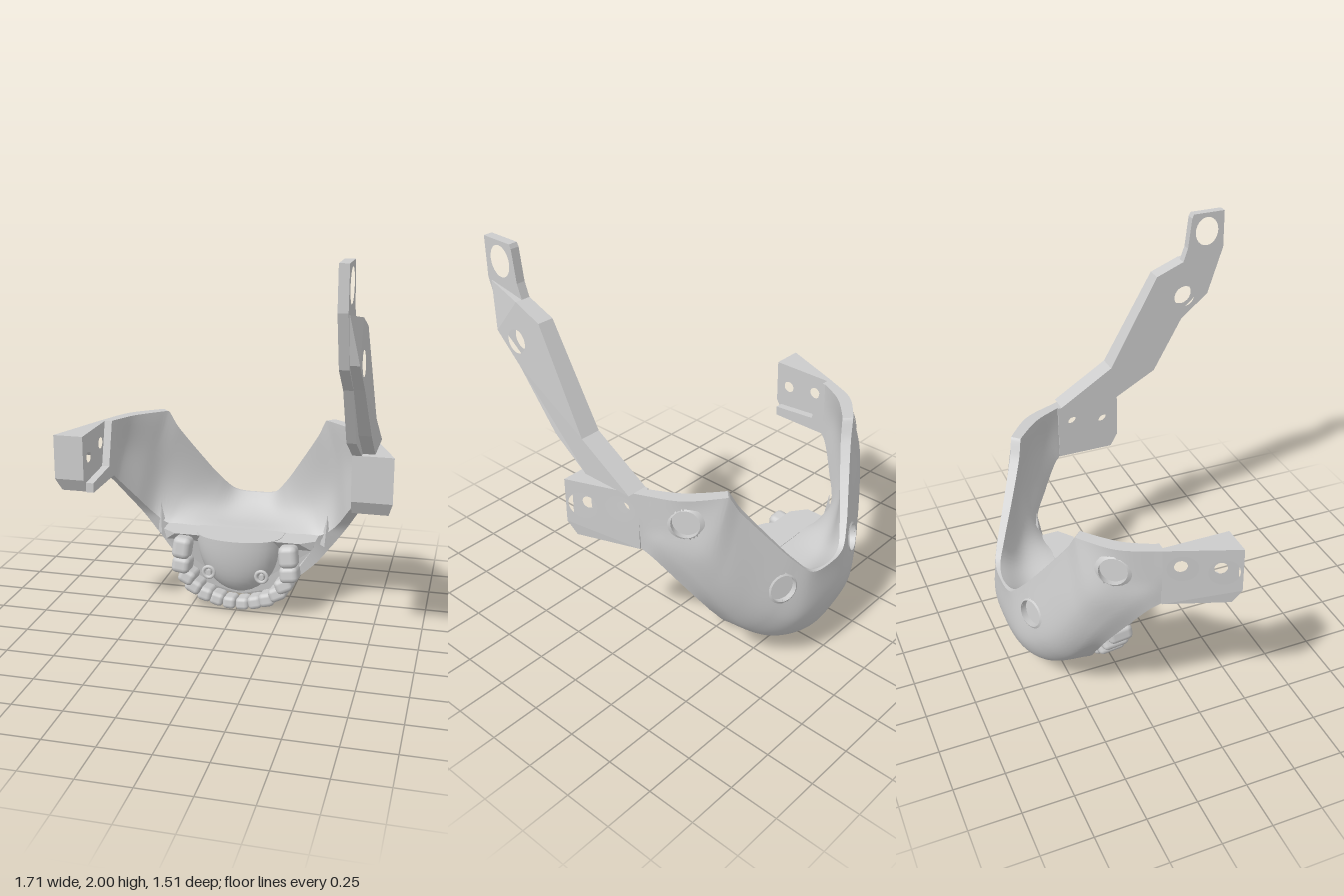
import * as THREE from 'three';
import { toCreasedNormals } from 'three/addons/utils/BufferGeometryUtils.js';
import { RoundedBoxGeometry } from 'three/addons/geometries/RoundedBoxGeometry.js';

const V = (a) => new THREE.Vector3(...a);
const lerp = THREE.MathUtils.lerp;

// Rails of the jaw band from the wing joint to the chin
const TOP = [[.722, 1.03, -.2], [.635, 1.04, -.38], [.5, 1.06, -.5], [.42, .93, -.55],
  [.3, .75, -.635], [.2, .61, -.705], [.12, .53, -.745], [0, .515, -.755]];
const BULGE = [[.722, .88, -.2], [.665, .86, -.34], [.605, .78, -.475], [.535, .65, -.545],
  [.45, .48, -.605], [.34, .35, -.67], [.2, .27, -.73], [0, .27, -.75]];
const BOTTOM = [[.715, .73, -.2], [.7, .7, -.25], [.635, .58, -.335], [.56, .45, -.41],
  [.475, .33, -.43], [.385, .22, -.43], [.24, .11, -.43], [0, .06, -.43]];
const INNER = [[.66, .73, -.2], [.65, .7, -.23], [.58, .58, -.32], [.5, .46, -.4],
  [.42, .41, -.4], [.28, .41, -.4], [.14, .41, -.4], [0, .41, -.4]];
const DIMPLES = [[.63, .92, -.40], [.27, .49, -.69]];
const DIMPLE_R = 0.068;

// Cross-section k: outer side going down, then inner side going up
function station(k) {
  const [top, bulge, bottom, inner] = [TOP, BULGE, BOTTOM, INNER].map((rail) => V(rail[k]));
  const chin = (k / 7) ** 3, hollow = Math.min(1, k / 3);
  const low = bulge.clone().lerp(bottom, .5).add(V([0, -.08 * chin, -.07 * chin]));
  low.x *= 1 + .06 * Math.min(1, k / 5);
  const rim = V([top.x * .92, top.y, top.z + .04 * Math.min(1, k) * (1 - .7 * chin)]);
  const bowl = inner.clone().lerp(rim, .5).add(V([0, -.04 * hollow, -.03 * hollow]));
  bowl.x *= 1 + .06 * hollow;
  return [top, bulge, low, bottom, inner, bowl, rim];
}

// Sweeps the cross-sections into a closed shell, leaving openings for the dimples
function jawShell() {
  const half = TOP.map((_, k) => station(k));
  const mirror = half.map((s) => s.map((p) => V([-p.x, p.y, p.z])));
  const all = [...mirror, ...half.slice(0, -1).reverse()];
  const rails = half[0].map((_, k) => new THREE.CatmullRomCurve3(all.map((s) => s[k])));
  const nu = 196, nv = 40, ni = 14, rows = [];
  for (let i = 0; i <= nu; i++) {
    const c = rails.map((r) => r.getPoint(i / nu));
    for (const p of c) p.y = Math.min(p.y, 1.03);
    const outer = new THREE.CatmullRomCurve3(c.slice(0, 4)).getPoints(nv);
    const inner = new THREE.CatmullRomCurve3(c.slice(4)).getPoints(ni);
    rows.push([...outer, ...inner]);
  }
  // Nearest surface point and its normal for each dimple, on both sides
  const seats = DIMPLES.flatMap(([x, y, z]) => [V([x, y, z]), V([-x, y, z])]).map((target) => {
    let best = Infinity, seat;
    for (let i = 2; i < nu - 1; i++) for (let j = 2; j < nv - 1; j++) {
      const d = rows[i][j].distanceTo(target);
      if (d >= best) continue;
      best = d;
      const du = rows[i + 2][j].clone().sub(rows[i - 2][j]);
      const dv = rows[i][j + 2].clone().sub(rows[i][j - 2]);
      seat = { point: rows[i][j], normal: du.cross(dv).normalize() };
    }
    return seat;
  });
  const n = rows[0].length, index = [], mid = new THREE.Vector3();
  const add = (...t) => {
    mid.set(0, 0, 0);
    for (const k of t) mid.addScaledVector(rows[Math.floor(k / n)][k % n], 1 / 3);
    const outerSide = t.every((k) => k % n <= nv);
    if (outerSide && seats.some((s) => s.point.distanceTo(mid) < DIMPLE_R + 0.004)) return;
    index.push(...t);
  };
  for (let i = 0; i < nu; i++) for (let j = 0; j < n; j++) {
    const a = i * n + j, c = i * n + (j + 1) % n;
    add(a, a + n, c);
    add(a + n, c + n, c);
  }
  const geo = new THREE.BufferGeometry().setFromPoints(rows.flat());
  geo.setIndex(index);
  return { geo: toCreasedNormals(geo, 0.6), seats };
}

// Slab with a [z, y] outline and holes [z, y, rz, ry], from x = inner to x = outer(z, y)
function slab(outline, holes, inner, outer, side = 1) {
  const shape = new THREE.Shape(outline.map(([z, y]) => new THREE.Vector2(-z, y)));
  for (const [z, y, rz, ry = rz] of holes) {
    shape.holes.push(new THREE.Path().absellipse(-z, y, rz, ry, 0, Math.PI * 2, true));
  }
  const geo = new THREE.ExtrudeGeometry(shape, { depth: 1, bevelEnabled: false, curveSegments: 12 });
  geo.rotateY(Math.PI / 2);
  const p = geo.attributes.position;
  for (let i = 0; i < p.count; i++) {
    const d = side > 0 ? p.getX(i) : 1 - p.getX(i);
    p.setX(i, side * lerp(inner, outer(p.getZ(i), p.getY(i)), d));
  }
  geo.computeVertexNormals();
  return geo;
}

export function createModel() {
  const model = new THREE.Group();
  const grey = new THREE.MeshStandardMaterial({ color: 0xcccccc });
  grey.name = 'plain grey';
  const add = (name, geo, pos = [0, 0, 0]) => {
    const mesh = new THREE.Mesh(geo, grey);
    mesh.name = name;
    mesh.position.set(...pos);
    model.add(mesh);
    return mesh;
  };

  // Jaw shell and its round dimples
  const { geo, seats } = jawShell();
  add('jawShell', geo);
  const cup = [[DIMPLE_R + .02, -.008], [DIMPLE_R, .004], [DIMPLE_R, -.028], [0, -.028]];
  for (const s of seats) {
    const lathe = new THREE.LatheGeometry(cup.map(([x, y]) => new THREE.Vector2(x, y)), 24);
    const mesh = add('dimple', toCreasedNormals(lathe, 0.5), s.point.toArray());
    mesh.quaternion.setFromUnitVectors(new THREE.Vector3(0, 1, 0), s.normal);
  }

  // Flared wings; the web inside each one forms the floor of the bolt counterbores
  const wing = [[-.2, .73], [.10, .73], [.14, .8], [.14, 1.03], [-.2, 1.03]];
  const bolts = (r) => [[.06, .905, r], [-.115, .93, r]];
  const flare = (z, y) => .722 + (z + .2) * (y < .76 ? .37 : .39);
  for (const side of [-1, 1]) {
    add('wingWeb', slab(wing, bolts(.03), .70, (z) => .71 + (z + .2) * .3, side));
    add('wing', slab(wing, bolts(.068), .70, flare, side));
  }
  add('wingPlate', slab(wing, bolts(.03), .655, () => .70));
  add('wingLedge', slab([[-.24, .73], [.11, .73], [.11, .78], [-.13, .80], [-.19, 1.03], [-.24, 1.03]],
    [], .66, () => .70, -1));

  // Side strap: flat plate and the thicker outer rib
  const boltHole = [.535, 1.555, .058];
  add('strapPlate', slab([[.14, 1.03], [.36, 1.15], [.52, 1.43], [.67, 1.55], [.755, 1.8], [.755, 2], [.58, 2],
    [.57, 1.98], [.55, 1.82], [.525, 1.75], [.375, 1.69], [.11, 1.21], [-.18, 1.03]],
  [boltHole, [.657, 1.9, .065, .077]], .655, () => .70));
  add('strapRib', slab([[.10, 1.03], [.29, 1.17], [.52, 1.435], [.67, 1.57], [.73, 1.79], [.525, 1.75], [.375, 1.69],
    [.11, 1.21], [-.18, 1.03]], [boltHole], .70,
  (z, y) => (y > 1.77 ? .703 : Math.min(.76, .735 + (1.75 - y) * .045))));

  // Gum block behind the teeth
  const half = [[.42, .41], [.40, .36], [.31, .22], [.22, .11], [.1, .055]];
  const flip = half.map(([x, y]) => [-x, y]);
  const top = [.34, .24, -.24, -.34].map((x) => [x, .41]);
  const outline = [...flip, [0, .05], ...half.reverse(), ...top].map(([x, y]) => new THREE.Vector2(x, y));
  const gum = new THREE.ExtrudeGeometry(new THREE.Shape(outline), { depth: 1, bevelEnabled: false });
  const gp = gum.attributes.position;
  for (let i = 0; i < gp.count; i++) {
    const y = gp.getY(i), x = Math.abs(gp.getX(i));
    const front = lerp(-.38, -.25, Math.min(1, y / .36)) - Math.max(0, x - .34) * .75;
    gp.setZ(i, gp.getZ(i) > .5 ? front : -.43);
  }
  gum.computeVertexNormals();
  add('gum', gum);

  // Tongue: lower half dome with a flat top and blunt front
  const dome = [];
  for (let k = 0; k <= 12; k++) {
    const a = (k / 12) * Math.PI / 2;
    dome.push(new THREE.Vector2(Math.sin(a), -Math.cos(a)));
  }
  dome.push(new THREE.Vector2(0, 0));
  const tongue = new THREE.LatheGeometry(dome, 32);
  const tp = tongue.attributes.position;
  for (let i = 0; i < tp.count; i++) {
    const x = tp.getX(i), z = tp.getZ(i);
    tp.setXYZ(i, x * .24, .413 + tp.getY(i) * .335, -.40 + Math.sign(z) * Math.abs(z) ** .6 * (z > 0 ? .215 : .01));
  }
  add('tongue', toCreasedNormals(tongue, 0.6));

  // Teeth along the arch: x, y, z, width across the arch, length along it, depth
  const teeth = [
    [.29, .345, -.23, .10, .12, .11], [.295, .245, -.245, .10, .09, .13], [.265, .175, -.26, .09, .08, .14],
    [.23, .12, -.27, .09, .075, .14], [.17, .075, -.28, .08, .075, .13], [.105, .05, -.285, .075, .07, .12],
    [.036, .036, -.285, .07, .066, .12],
  ];
  for (const side of [-1, 1]) {
    for (const [x, y, z, w, l, d] of teeth) {
      const tooth = add('tooth', new RoundedBoxGeometry(w, l, d, 2, Math.min(w, l) * .32), [side * x, y, z]);
      tooth.rotation.set(-.12, 0, side * (y < .1 ? .25 : y < .2 ? .45 : .12) * (x < .05 ? .2 : 1));
    }
    // Small stud on the tongue
    add('studRing', new THREE.TorusGeometry(.03, .01, 8, 20), [side * .145, .215, -.225]);
    add('studPin', new THREE.CylinderGeometry(.014, .014, .05, 12).rotateX(Math.PI / 2), [side * .145, .215, -.24]);
    // Pointed tab where the gum meets the shell
    const tab = add('gumTab', toCreasedNormals(new THREE.ConeGeometry(.028, .17, 4), 0.3), [side * .46, .44, -.41]);
    tab.rotation.z = side * -.06;
  }
  return model;
}
